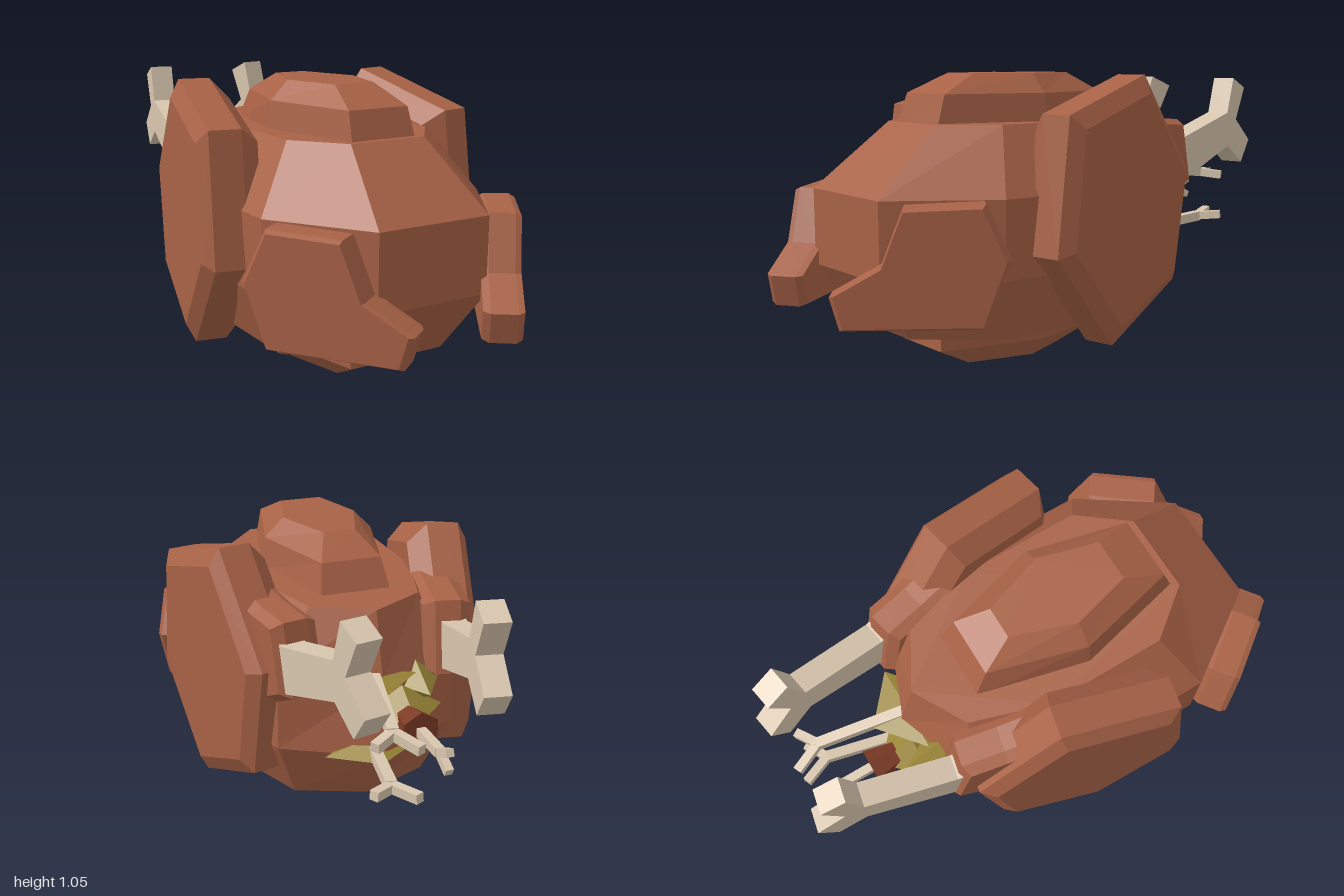
import * as THREE from 'three';

const mat = (color) => new THREE.MeshStandardMaterial({ color, flatShading: true });

// Skin between matching rings of points, with both ends closed; contour is a 2D outline for the caps.
function loft(rings, contour) {
  const n = contour.length, pos = [];
  const tris = [];
  for (let r = 0; r < rings.length - 1; r++) {
    for (let i = 0; i < n; i++) {
      const j = (i + 1) % n, a = rings[r][i], b = rings[r][j], c = rings[r + 1][j], d = rings[r + 1][i];
      tris.push([a, b, c], [a, c, d]);
    }
  }
  const area = THREE.ShapeUtils.area(contour);
  const caps = THREE.ShapeUtils.triangulateShape(contour, []);
  const last = rings[rings.length - 1];
  for (const [a, b, c] of caps) {
    const s = area > 0 ? [a, b, c] : [a, c, b];
    const [p, q, t] = THREE.ShapeUtils.area([contour[s[0]], contour[s[1]], contour[s[2]]]) * area > 0 ? [s[0], s[1], s[2]] : [s[0], s[2], s[1]];
    // caps run with the contour direction at the far end and against it at the near end
    const [u, v] = area > 0 ? [q, t] : [t, q];
    const w = THREE.ShapeUtils.area([contour[p], contour[u], contour[v]]) * area > 0 ? [p, u, v] : [p, v, u];
    tris.push([last[w[0]], last[w[1]], last[w[2]]], [rings[0][w[0]], rings[0][w[2]], rings[0][w[1]]]);
  }
  // turn everything outward when the enclosed volume is negative
  let volume = 0;
  const tmp = new THREE.Vector3();
  for (const [a, b, c] of tris) volume += a.dot(tmp.crossVectors(b, c));
  for (const [a, b, c] of tris) {
    for (const p of volume < 0 ? [a, c, b] : [a, b, c]) pos.push(p.x, p.y, p.z);
  }
  const g = new THREE.BufferGeometry();
  g.setAttribute('position', new THREE.Float32BufferAttribute(pos, 3));
  g.computeVertexNormals();
  return g;
}

// Layers stacked in y, each given as the +x half of an outline of [x, z].
function stack(layers) {
  const full = layers.map(([y, half]) => {
    const other = half.filter(([x]) => x > 0).reverse().map(([x, z]) => [-x, z]);
    return [...half, ...other].map(([x, z]) => new THREE.Vector3(x, y, z));
  });
  return loft(full, full[0].map((p) => new THREE.Vector2(p.x, p.z)));
}

// Upright yawed plate: outline of [z, y] on the plane x = x0 + slope * z,
// with layers of [depth behind the plane, outline scale].
function slab(outline, x0, slope, layers, side) {
  const n = outline.length, len = Math.hypot(1, slope);
  const cz = outline.reduce((s, p) => s + p[0], 0) / n;
  const cy = outline.reduce((s, p) => s + p[1], 0) / n;
  const rings = layers.map(([d, k]) => outline.map(([z0, y0]) => {
    const z = cz + (z0 - cz) * k, y = cy + (y0 - cy) * k;
    return new THREE.Vector3(side * (x0 + slope * z - d / len), y, z + d * slope / len);
  }));
  return loft(rings, outline.map(([z, y]) => new THREE.Vector2(z, y)));
}

export function createModel() {
  const root = new THREE.Group();
  const shell = mat(0xa86246), bone = mat(0xd8c6ae), olive = mat(0x9a8638), rust = mat(0x7d3b26);

  const add = (name, geometry, material, parent = root) => {
    const m = new THREE.Mesh(geometry, material);
    m.name = name;
    parent.add(m);
    return m;
  };

  // Faceted trunk with a pointed back
  add('body', stack([
    [0.155, [[0.15, 0.65], [0.36, 0.42], [0.36, -0.1], [0.25, -0.35], [0, -0.45]]],
    [0.38, [[0.22, 0.8], [0.45, 0.46], [0.45, -0.1], [0.33, -0.42], [0, -0.6]]],
    [0.65, [[0.22, 0.8], [0.45, 0.46], [0.45, -0.1], [0.33, -0.42], [0, -0.56]]],
    [0.88, [[0.15, 0.53], [0.29, 0.35], [0.29, -0.1], [0.2, -0.38], [0, -0.49]]],
  ]), shell);

  // Long hexagonal plates above and below
  const hex = (x, front, mid, back, xb) => [[x, front], [mid, 0.1], [xb, back]];
  add('topCrest', stack([
    [0.86, hex(0.13, 0.51, 0.23, -0.31, 0.13)],
    [0.98, hex(0.12, 0.47, 0.21, -0.25, 0.11)],
    [1.05, hex(0.08, 0.32, 0.14, -0.13, 0.06)],
  ]), shell);
  add('bellyPlate', stack([
    [0, hex(0.08, 0.35, 0.14, -0.09, 0.06)],
    [0.075, hex(0.12, 0.5, 0.21, -0.24, 0.11)],
    [0.17, hex(0.13, 0.5, 0.23, -0.27, 0.13)],
  ]), shell);

  const plate = [[0.26, 0.92], [-0.17, 1.045], [-0.46, 0.69], [-0.38, 0.27], [0.01, 0.095], [0.32, 0.45]];
  const claw = [[0.99, 0.36], [0.965, 0.25], [0.59, 0.25], [0.525, 0.47], [0.59, 0.65], [0.8, 0.64], [0.86, 0.45]];
  const horn = [[-0.4, 0.81], [-0.5, 0.8], [-0.82, 0.88], [-0.86, 1.02], [-0.95, 0.98], [-0.89, 0.85],
    [-1, 0.76], [-0.94, 0.67], [-0.83, 0.745], [-0.5, 0.63], [-0.4, 0.6]];
  const root2 = [[-0.2, 0.9], [-0.33, 0.88], [-0.48, 0.87], [-0.54, 0.62], [-0.4, 0.55], [-0.2, 0.6]];

  for (const [label, s] of [['left', 1], ['right', -1]]) {
    add(label + 'SidePlate', slab(plate, 0.52, 0.21, [[0, 0.86], [0.035, 1], [0.15, 1], [0.22, 0.84]], s), shell);
    add(label + 'Claw', slab(claw, 0.947, -0.73, [[0, 0.95], [0.02, 1], [0.11, 1], [0.135, 0.95]], s), shell);
    add(label + 'HornRoot', slab(root2, 0.46, 0.21, [[0, 0.85], [0.04, 1], [0.13, 1], [0.17, 0.85]], s), shell);
    add(label + 'Horn', slab(horn, 0.43, 0.19, [[0, 1], [0.09, 1]], s), bone);
  }

  // Small forked tails, each on an olive frill
  const rod = (name, a, b, w, parent) => {
    const from = new THREE.Vector3(...a), to = new THREE.Vector3(...b);
    const m = add(name, new THREE.BoxGeometry(w, w, from.distanceTo(to)), bone, parent);
    m.position.copy(from).lerp(to, 0.5);
    m.lookAt(to);
  };
  const fork = (name, base, split, tips, w) => {
    const g = new THREE.Group();
    g.name = name;
    rod('shaft', base, split, w, g);
    for (const t of tips) rod('prong', split, t, w * 0.85, g);
    root.add(g);
  };
  fork('upperFork', [0.02, 0.66, -0.52], [0.09, 0.62, -0.86], [[0.04, 0.61, -0.97], [0.17, 0.61, -0.91]], 0.038);
  fork('lowerFork', [0.02, 0.39, -0.52], [0.09, 0.43, -0.86], [[0.04, 0.44, -0.97], [0.17, 0.44, -0.91]], 0.038);
  fork('middleFork', [-0.065, 0.535, -0.68], [-0.065, 0.535, -0.88], [[-0.065, 0.57, -0.95], [-0.065, 0.5, -0.95]], 0.032);

  const frill = (name, x, y, z, sx, sy, sz) => {
    const g = new THREE.OctahedronGeometry(1, 0);
    g.scale(sx, sy, sz);
    add(name, g, olive).position.set(x, y, z);
  };
  frill('middleFrill', -0.07, 0.535, -0.56, 0.15, 0.09, 0.14);
  frill('upperFrill', 0.03, 0.645, -0.52, 0.17, 0.035, 0.14);
  frill('lowerFrill', 0.03, 0.385, -0.54, 0.17, 0.05, 0.11);
  frill('sideFrill', -0.15, 0.6, -0.48, 0.09, 0.08, 0.14);

  // Flared socket of the middle fork
  const socket = add('forkSocket', new THREE.CylinderGeometry(0.07, 0.04, 0.13, 6), rust);
  socket.rotation.x = -Math.PI / 2;
  socket.position.set(-0.065, 0.535, -0.67);

  return root;
}
